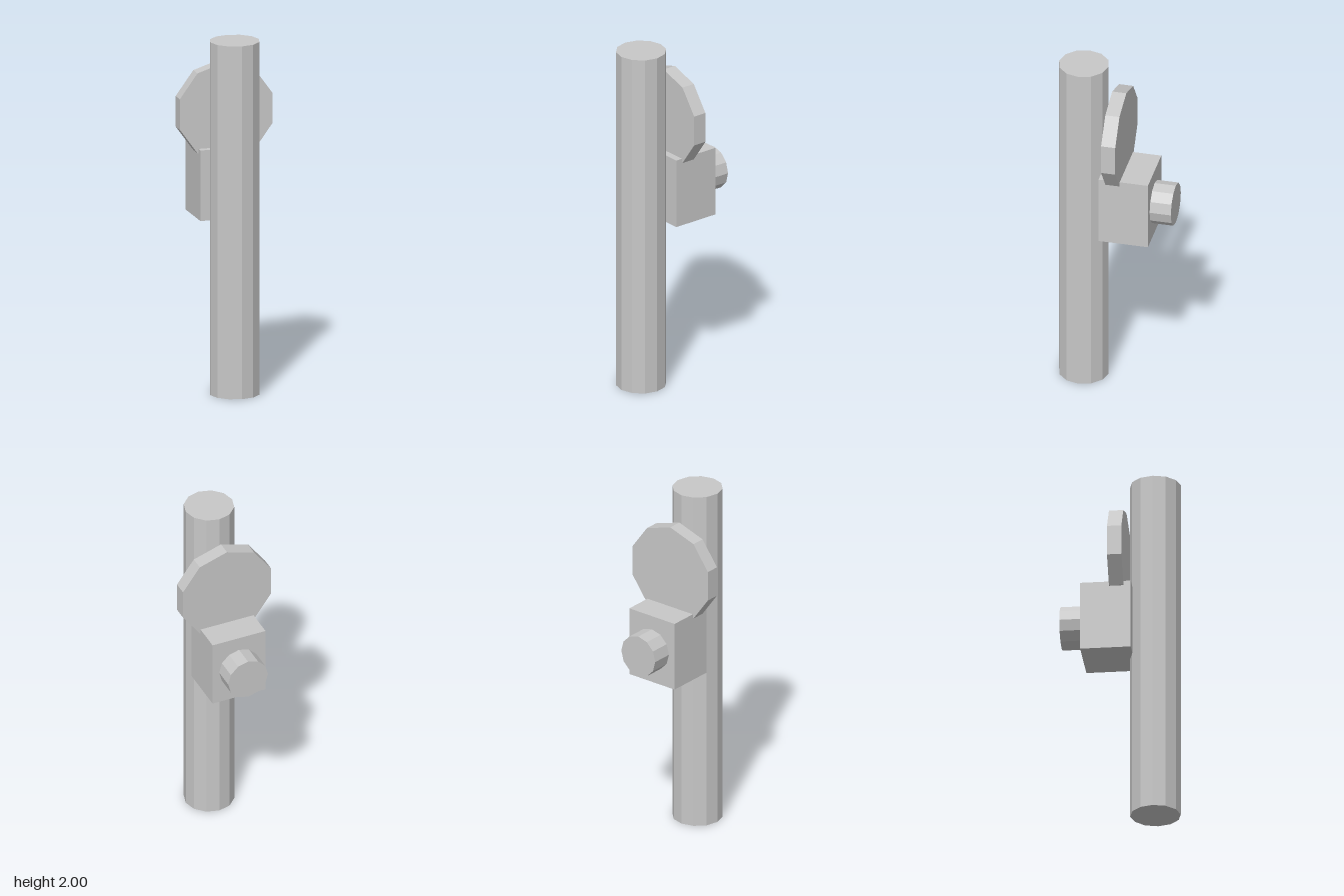
import * as THREE from 'three';

export function createModel() {
  const group = new THREE.Group();
  const grey = new THREE.MeshStandardMaterial({ color: 0xc7c7c7, flatShading: true });
  grey.name = 'light grey';

  function add(name, geometry, x, y, z) {
    const mesh = new THREE.Mesh(geometry, grey);
    mesh.name = name;
    mesh.position.set(x, y, z);
    group.add(mesh);
  }

  // Cylinder whose axis runs front to back, with a vertex at the top
  const disc = (radius, depth, sides) =>
    new THREE.CylinderGeometry(radius, radius, depth, sides).rotateX(-Math.PI / 2);

  // Tall twelve-sided pole at the front
  add('pole', new THREE.CylinderGeometry(0.14, 0.14, 2, 12), 0, 1, 0.19);

  // Mounting block behind the pole
  add('block', new THREE.BoxGeometry(0.32, 0.4, 0.28), 0, 1.16, -0.07);

  // Ten-sided plate standing on the block
  add('plate', disc(0.28, 0.08, 10), 0, 1.562, -0.01);

  // Round knob on the back of the block
  add('knob', disc(0.12, 0.12, 12), 0, 1.16, -0.27);

  return group;
}
